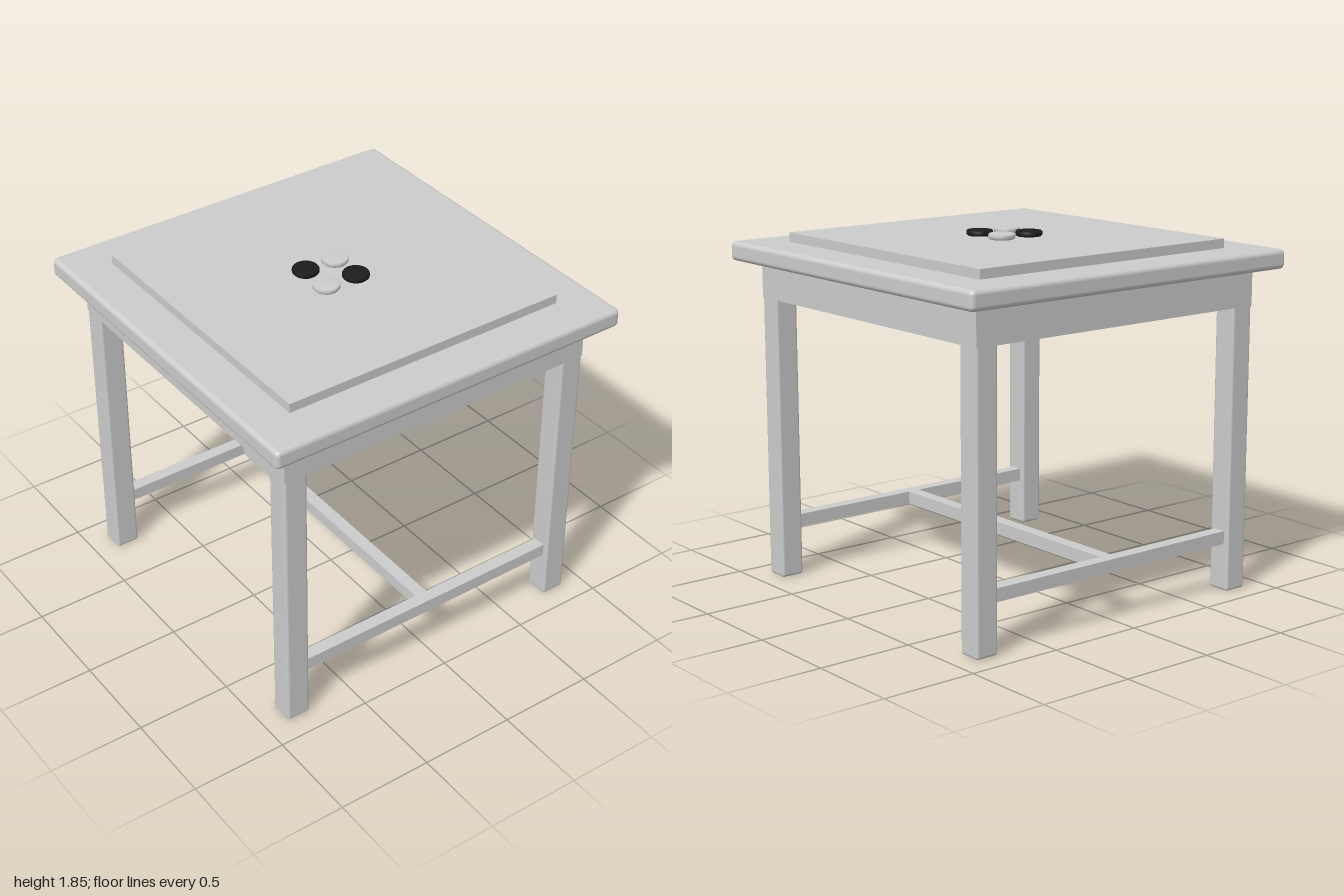
import * as THREE from 'three';
import { RoundedBoxGeometry } from 'three/addons/geometries/RoundedBoxGeometry.js';

export function createModel() {
  const table = new THREE.Group();
  table.name = 'gameTable';

  const grey = new THREE.MeshStandardMaterial({ color: 0xcccccc });
  grey.name = 'lightGrey';
  const black = new THREE.MeshStandardMaterial({ color: 0x1c1c1c });
  black.name = 'black';

  const add = (name, geometry, material, x, y, z) => {
    const mesh = new THREE.Mesh(geometry, material);
    mesh.name = name;
    mesh.position.set(x, y, z);
    table.add(mesh);
    return mesh;
  };
  const box = (name, w, h, d, x, y, z) =>
    add(name, new THREE.BoxGeometry(w, h, d), grey, x, y, z);

  // Rounded table top and the raised playing board
  add('tableTop', new RoundedBoxGeometry(2, 0.1, 2, 4, 0.025), grey, 0, 1.72, 0);
  box('board', 1.56, 0.05, 1.56, 0, 1.793, 0);

  // Legs with softened edges
  const legGeometry = new RoundedBoxGeometry(0.126, 1.68, 0.126, 3, 0.014);
  for (const sx of [-1, 1])
    for (const sz of [-1, 1])
      add('leg', legGeometry, grey, sx * 0.82, 0.84, sz * 0.82);

  // Apron rails flush with the outside of the legs, and side stretchers
  const out = 0.883, thick = 0.04;
  for (const s of [-1, 1]) {
    box('apronLong', out * 2, 0.2, thick, 0, 1.58, s * (out - thick / 2));
    box('apronSide', thick, 0.2, (out - thick) * 2, s * (out - thick / 2), 1.58, 0);
    box('sideStretcher', 0.068, 0.068, 1.54, s * 0.82, 0.284, 0);
  }
  box('crossStretcher', 1.6, 0.068, 0.068, 0, 0.284, 0);

  // Four playing discs, colours alternating on the diagonals
  const r = 0.068, h = 0.028;
  const profile = [[0, 0], [r - 0.007, 0], [r, 0.008], [r, h - 0.006], [r - 0.004, h], [0, h]]
    .map(([x, y]) => new THREE.Vector2(x, y));
  const discGeometry = new THREE.LatheGeometry(profile, 32);
  for (const sx of [-1, 1])
    for (const sz of [-1, 1]) {
      const light = sx === sz;
      add(light ? 'lightDisc' : 'blackDisc', discGeometry, light ? grey : black,
        sx * 0.088, 1.818, sz * 0.088);
    }

  return table;
}
